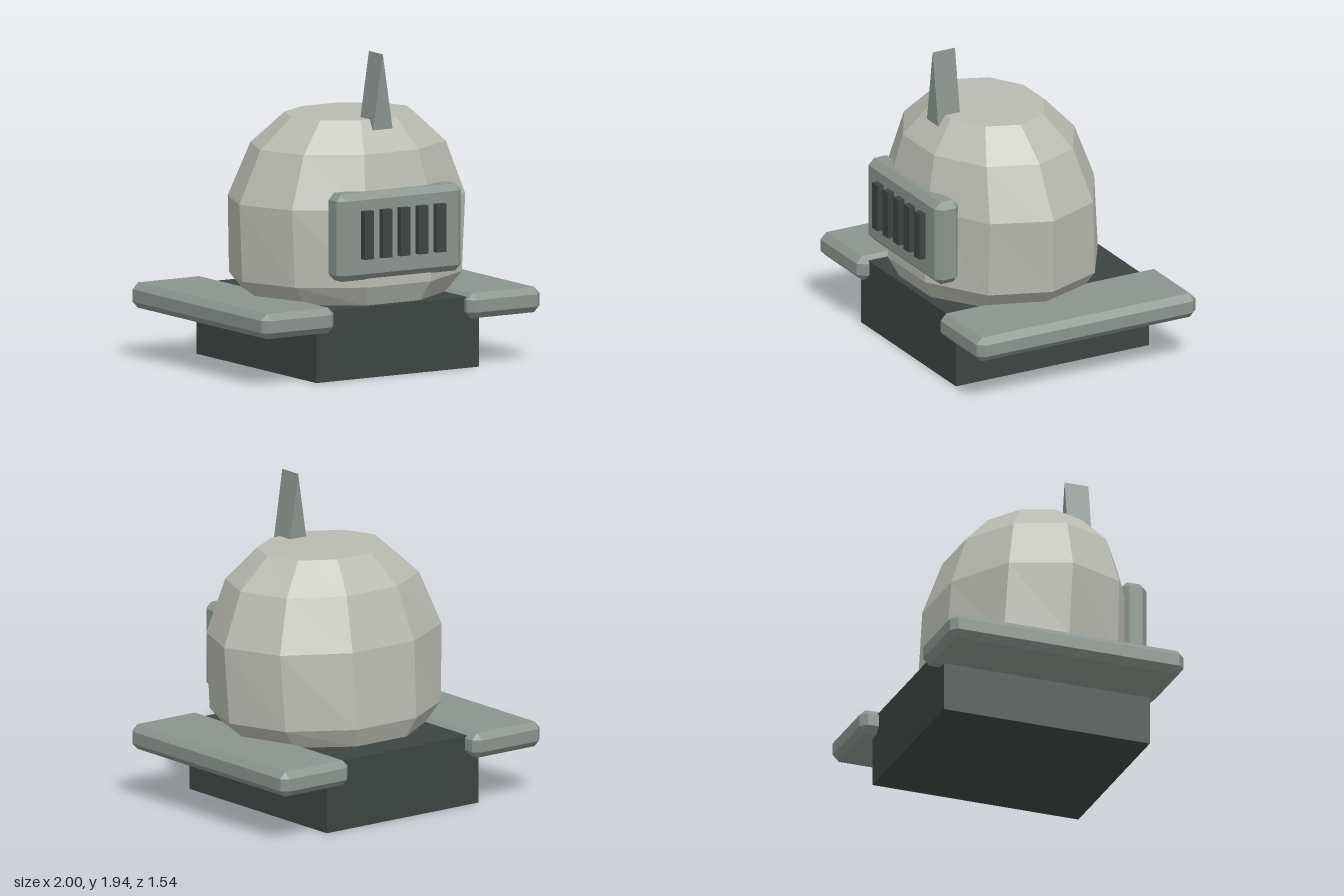
import * as THREE from 'three';
import { ConvexGeometry } from 'three/addons/geometries/ConvexGeometry.js';

const paint = (color) => new THREE.MeshStandardMaterial({ color, flatShading: true });
const shell = paint(0xb9bbb2);
const trim = paint(0x8b948f);
const dark = paint(0x3d4442);

// Box between two corners with every edge cut by a single chamfer
function chamferBox(min, max, c) {
  const points = [];
  for (let k = 0; k < 8; k++) {
    const side = [k & 1, (k >> 1) & 1, (k >> 2) & 1];
    for (let full = 0; full < 3; full++) {
      const p = side.map((s, a) => {
        const inset = a === full ? 0 : c;
        return s ? max[a] - inset : min[a] + inset;
      });
      points.push(new THREE.Vector3(...p));
    }
  }
  return new ConvexGeometry(points);
}

function box(min, max) {
  const size = max.map((v, a) => v - min[a]);
  const mid = max.map((v, a) => (v + min[a]) / 2);
  return new THREE.BoxGeometry(...size).translate(...mid);
}

// Ten-sided body: each ring is an ellipse with its own depth and z centre
function domeGeometry() {
  const rings = [ // y, half width, half depth, z centre
    [0.43, 0, 0, 0.095],
    [0.43, 0.62, 0.57, 0.09],
    [0.555, 0.74, 0.63, 0.095],
    [1.03, 0.77, 0.61, 0.107],
    [1.355, 0.63, 0.51, 0.125],
    [1.54, 0.415, 0.342, 0.135],
    [1.54, 0, 0, 0.135],
  ];
  const profile = rings.map(([y, r]) => new THREE.Vector2(r, y));
  const geo = new THREE.LatheGeometry(profile, 10, Math.PI / 2);
  const pos = geo.attributes.position;
  for (let i = 0; i < pos.count; i++) {
    const [, rx, rz, cz] = rings[i % rings.length];
    pos.setZ(i, cz + (rx ? (pos.getZ(i) * rz) / rx : 0));
  }
  const flat = geo.toNonIndexed();
  flat.computeVertexNormals();
  return flat;
}

export function createModel() {
  const model = new THREE.Group();
  const add = (name, geometry, material) => {
    const mesh = new THREE.Mesh(geometry, material);
    mesh.name = name;
    model.add(mesh);
  };

  add('base', box([-0.585, 0, -0.66], [0.585, 0.435, 0.68]), dark);
  add('dome', domeGeometry(), shell);

  // Side platforms
  add('leftPlatform', chamferBox([0.48, 0.305, -0.77], [1, 0.46, 0.75], 0.04), trim);
  add('rightPlatform', chamferBox([-1, 0.305, -0.77], [-0.48, 0.46, 0.75], 0.04), trim);

  // Face plate with vertical grille bars
  add('facePlate', chamferBox([-0.447, 0.605, 0.562], [0.447, 1.14, 0.728], 0.04), trim);
  for (let i = -2; i <= 2; i++) {
    const x = i * 0.13;
    add('grilleBar', box([x - 0.034, 0.74, 0.69], [x + 0.034, 1.035, 0.768]), dark);
  }

  // Wedge fin on top
  const wedge = new THREE.Shape([
    new THREE.Vector2(-0.07, 1.48),
    new THREE.Vector2(0.07, 1.48),
    new THREE.Vector2(0, 1.94),
  ]);
  const fin = new THREE.ExtrudeGeometry(wedge, { depth: 0.155, bevelEnabled: false });
  add('fin', fin.translate(0, 0, 0.358), trim);

  return model;
}
